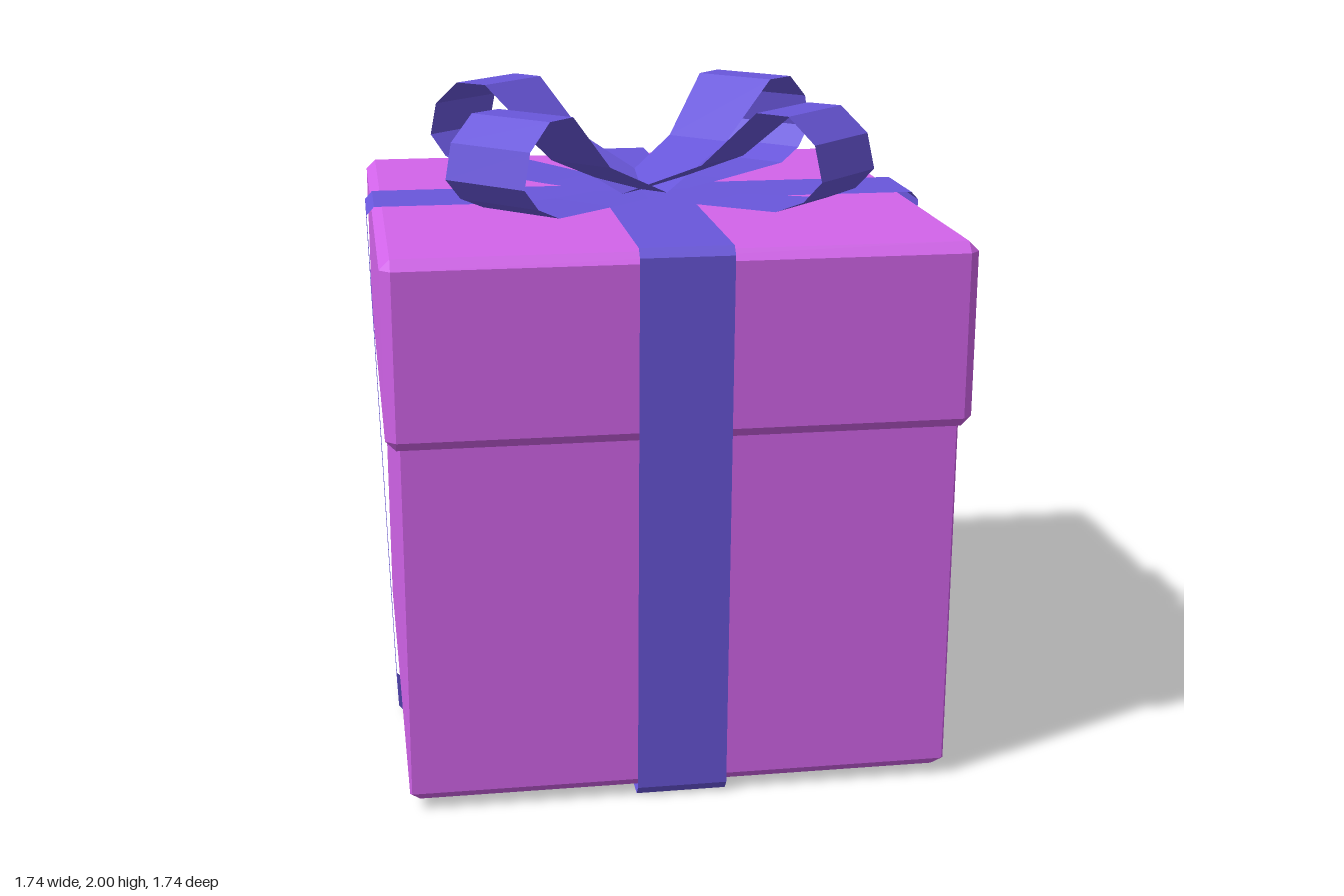
import * as THREE from 'three';
import { ConvexGeometry } from 'three/addons/geometries/ConvexGeometry.js';

const paper = new THREE.MeshStandardMaterial({ color: 0xd264ea, flatShading: true });
const satin = new THREE.MeshStandardMaterial({ color: 0x6957db, flatShading: true, side: THREE.DoubleSide });

// Square box with bevelled top and bottom rims and cut vertical corners
function bevelledBox(name, half, y0, y1, bevel, cut) {
  const points = [];
  const ring = (y, h, k) => {
    for (const sx of [-1, 1]) for (const sz of [-1, 1]) {
      points.push(new THREE.Vector3(sx * h, y, sz * (h - k)));
      if (k > 0) points.push(new THREE.Vector3(sx * (h - k), y, sz * h));
    }
  };
  ring(y0, half - bevel, 0);
  ring(y0 + bevel, half, cut);
  ring(y1 - bevel, half, cut);
  ring(y1, half - bevel, 0);
  const mesh = new THREE.Mesh(new ConvexGeometry(points), paper);
  mesh.name = name;
  return mesh;
}

// Thin strip following a path of [along, y, halfWidth] in the x-y plane
function strip(name, path) {
  const positions = [], index = [];
  path.forEach(([x, y, w], i) => {
    positions.push(x, y, w, x, y, -w);
    if (i > 0) {
      const a = 2 * (i - 1);
      index.push(a, a + 2, a + 1, a + 1, a + 2, a + 3);
    }
  });
  const geometry = new THREE.BufferGeometry();
  geometry.setAttribute('position', new THREE.Float32BufferAttribute(positions, 3));
  geometry.setIndex(index);
  const flat = geometry.toNonIndexed();
  flat.computeVertexNormals();
  const mesh = new THREE.Mesh(flat, satin);
  mesh.name = name;
  return mesh;
}

export function createModel() {
  const model = new THREE.Group();
  model.name = 'giftBox';

  model.add(bevelledBox('boxBody', 0.815, 0.025, 1.3, 0.03, 0.006));
  model.add(bevelledBox('boxLid', 0.85, 1.125, 1.675, 0.03, 0.03));

  // Two ribbon bands around the box, leaning in slightly towards the bottom
  const w = 0.135;
  const side = [[0.845, 1.69, w], [0.868, 1.665, w], [0.825, 0.03, w], [0.8, 0, w]];
  const mirrored = side.map(([x, y, h]) => [-x, y, h]).reverse();
  const band = [...mirrored, ...side, mirrored[0]];
  for (let i = 0; i < 2; i++) {
    const ribbon = strip(i ? 'sideRibbon' : 'frontRibbon', band);
    ribbon.rotation.y = i * Math.PI / 2;
    model.add(ribbon);
  }

  // Four bow loops on the diagonals
  const bow = new THREE.Group();
  bow.name = 'bow';
  const loop = [
    [0, 1.697, 0.1], [0.31, 1.82, 0.113], [0.523, 2, 0.141], [0.637, 2, 0.147],
    [0.73, 1.925, 0.149], [0.757, 1.82, 0.149], [0.695, 1.755, 0.148],
    [0.597, 1.715, 0.145], [0.3, 1.7, 0.115], [0, 1.693, 0.1],
  ];
  for (let i = 0; i < 4; i++) {
    const part = strip('bowLoop', loop);
    part.rotation.y = Math.PI / 4 + i * Math.PI / 2;
    bow.add(part);
  }
  model.add(bow);
  return model;
}
